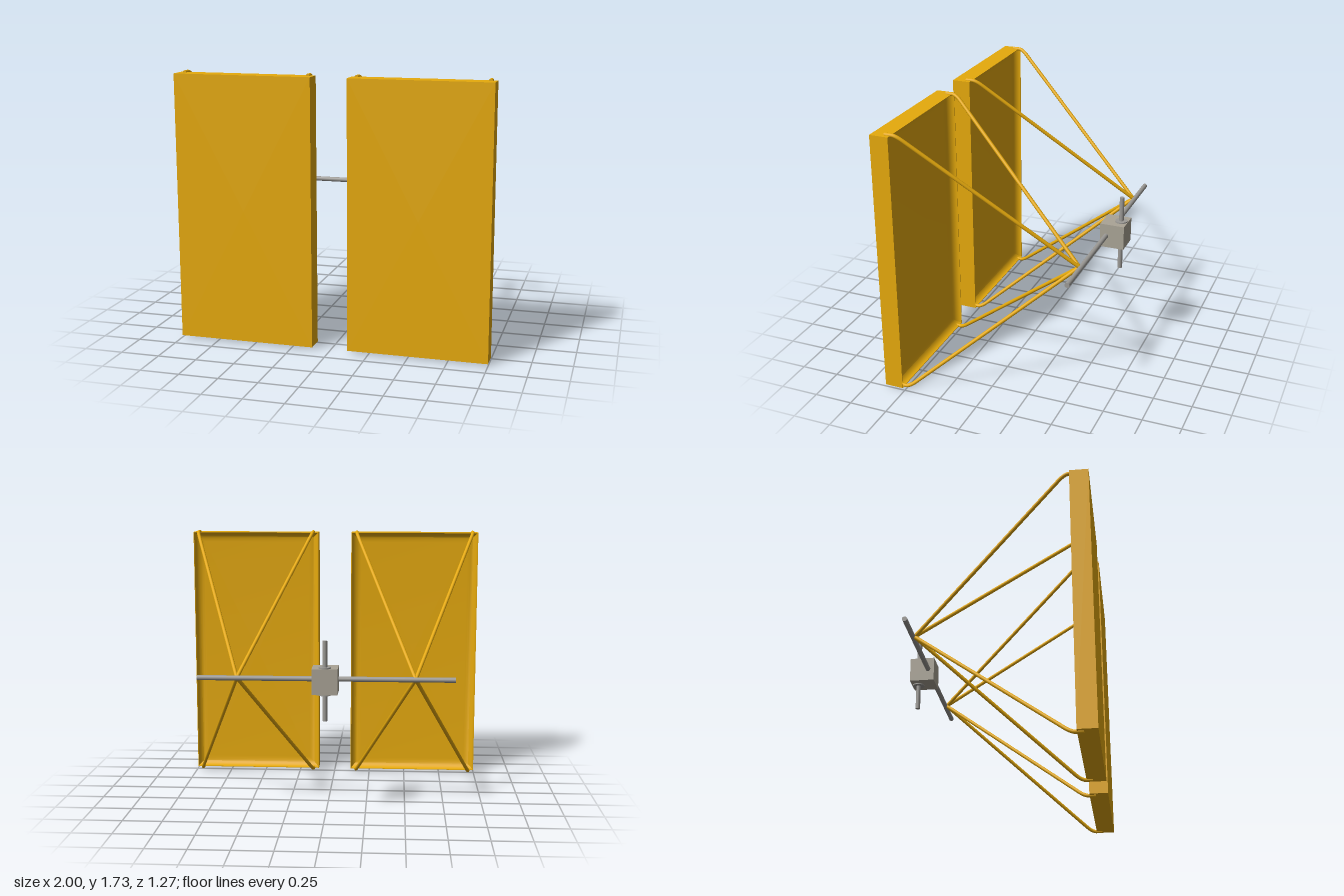
import * as THREE from 'three';
import { toCreasedNormals } from 'three/addons/utils/BufferGeometryUtils.js';

const yellow = new THREE.MeshStandardMaterial({ color: 0xe6aa0c });
const stone = new THREE.MeshStandardMaterial({ color: 0xaaa496 });
const steel = new THREE.MeshStandardMaterial({ color: 0x9c9a96 });

const MID_Y = 0.865, PANEL_X = 0.5575, HALF_W = 0.4425, HALF_H = 0.852;
const FRONT_Z = 0.635, BACK_Z = 0.515;

function add(parent, name, geometry, material, x = 0, y = 0, z = 0) {
  const mesh = new THREE.Mesh(geometry, material);
  mesh.name = name;
  mesh.position.set(x, y, z);
  parent.add(mesh);
  return mesh;
}

// Shallow tray: rectangular loops running from the front centre, round the rim, to the recessed back
function trayGeometry() {
  const loops = [[0, 0, FRONT_Z], [HALF_W, HALF_H, FRONT_Z], [HALF_W, HALF_H, BACK_Z]];
  const cove = 0.068, depth = 0.05, steps = 8;
  for (let i = 0; i <= steps; i++) {
    const a = (i / steps) * Math.PI / 2;
    const inset = 0.004 + cove * (1 - Math.cos(a));
    loops.push([HALF_W - inset, HALF_H - inset, BACK_Z + depth * Math.sin(a)]);
  }
  loops.push([0, 0, BACK_Z + depth]);

  const corner = ([w, h, z], k) => [[w, h, z], [-w, h, z], [-w, -h, z], [w, -h, z]][k % 4];
  const points = [];
  for (let i = 0; i < loops.length - 1; i++) {
    const a = loops[i], b = loops[i + 1];
    for (let k = 0; k < 4; k++) {
      if (a[0] > 0) points.push(...corner(a, k), ...corner(b, k + 1), ...corner(a, k + 1));
      if (b[0] > 0) points.push(...corner(a, k), ...corner(b, k), ...corner(b, k + 1));
    }
  }
  const geometry = new THREE.BufferGeometry();
  geometry.setAttribute('position', new THREE.Float32BufferAttribute(points, 3));
  return toCreasedNormals(geometry, 0.6);
}

// Bent rod from the cross bar to one corner of a panel
function strutGeometry(sx, sy) {
  const apex = new THREE.Vector3(0, 0, -0.51);
  const bend = new THREE.Vector3(sx * 0.404, sy * 0.853, 0.485);
  const end = new THREE.Vector3(sx * 0.404, sy * 0.853, 0.555);
  const before = bend.clone().lerp(apex, 0.04);
  const after = bend.clone().lerp(end, 0.4);
  const rodLine = (a, b) => new THREE.TubeGeometry(new THREE.LineCurve3(a, b), 1, 0.012, 12);
  const elbow = new THREE.TubeGeometry(new THREE.QuadraticBezierCurve3(before, bend, after), 8, 0.012, 12);
  return [rodLine(apex, before), elbow, rodLine(after, end)];
}

export function createModel() {
  const model = new THREE.Group();
  model.name = 'twinPanelAssembly';

  const tray = trayGeometry();
  const endCap = new THREE.CircleGeometry(0.012, 12);
  for (const side of [1, -1]) {
    const wing = new THREE.Group();
    wing.name = side > 0 ? 'leftWing' : 'rightWing';
    wing.position.set(side * PANEL_X, MID_Y, 0);
    add(wing, 'panel', tray, yellow);
    // Four struts to the panel corners
    for (const sx of [1, -1]) for (const sy of [1, -1]) {
      const strut = new THREE.Group();
      strut.name = 'strut';
      for (const g of strutGeometry(sx, sy)) add(strut, 'strutSection', g, yellow);
      add(strut, 'strutEnd', endCap, yellow, sx * 0.404, sy * 0.853, 0.555);
      wing.add(strut);
    }
    model.add(wing);
  }

  // Central block with its cross bar and vertical shaft
  add(model, 'centralBlock', new THREE.BoxGeometry(0.16, 0.16, 0.16), stone, 0, MID_Y, -0.56);
  const bar = add(model, 'crossBar', new THREE.CylinderGeometry(0.016, 0.016, 1.61, 24), steel, 0, MID_Y, -0.52);
  bar.rotation.z = Math.PI / 2;
  add(model, 'verticalShaft', new THREE.CylinderGeometry(0.015, 0.015, 0.5, 24), steel, 0, MID_Y, -0.597);
  add(model, 'shaftCollar', new THREE.CylinderGeometry(0.039, 0.039, 0.176, 32), steel, 0, MID_Y, -0.597);

  return model;
}
